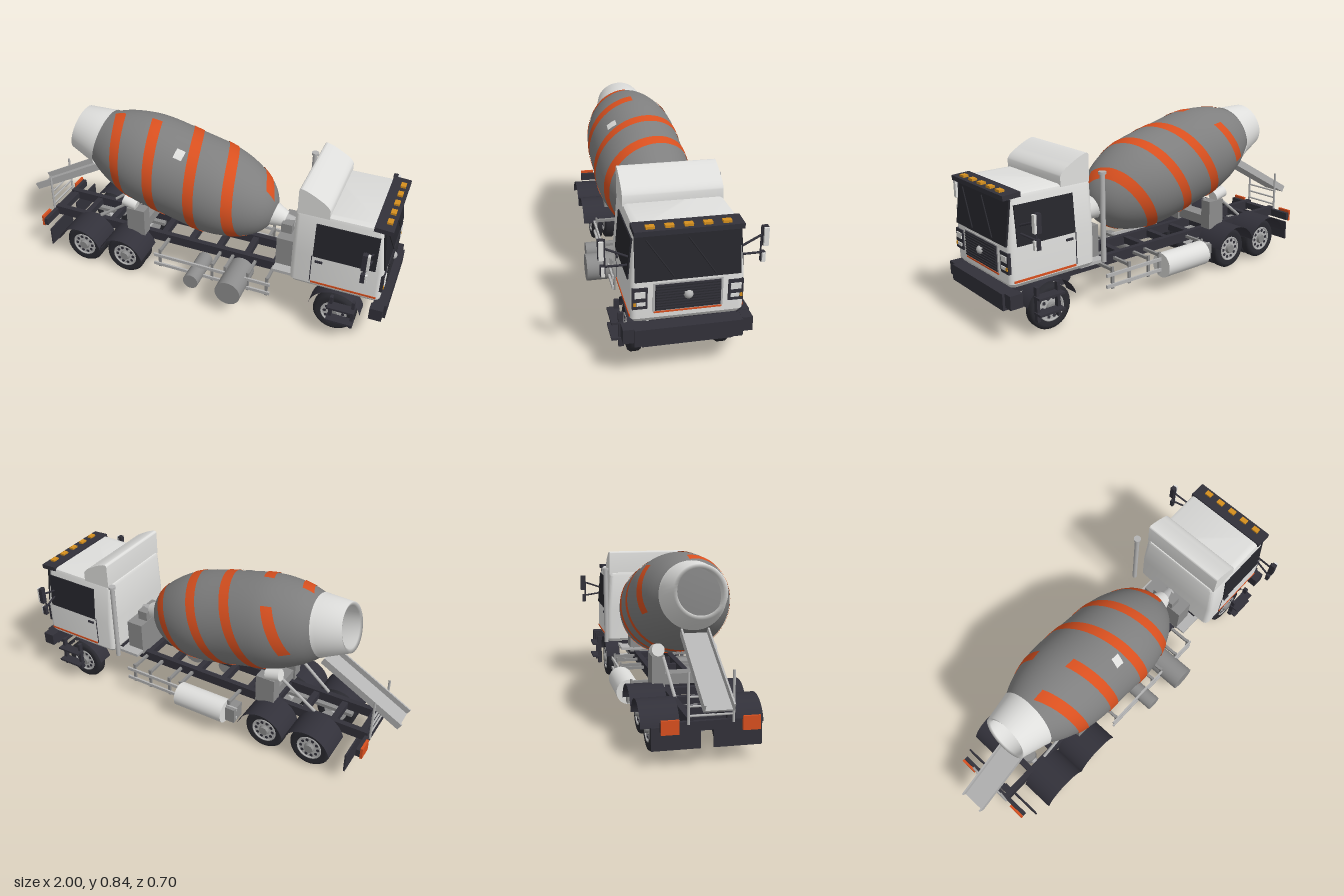
import * as THREE from 'three';
import { toCreasedNormals } from 'three/addons/utils/BufferGeometryUtils.js';

const DS = THREE.DoubleSide;
const mat = (name, color, side = THREE.FrontSide) => {
  const m = new THREE.MeshStandardMaterial({ color, side });
  m.name = name;
  return m;
};

export function createModel() {
  const root = new THREE.Group();
  root.name = 'mixerTruck';
  const white = mat('whitePaint', 0xdededc, DS), grey = mat('drumGrey', 0x7f7f7f);
  const orange = mat('orange', 0xd9501f, DS), dark = mat('darkFrame', 0x32313a, DS);
  const tyre = mat('tyreRubber', 0x2a2a30), glass = mat('darkGlass', 0x26262c);
  const steel = mat('lightSteel', 0xb4b4b4), mid = mat('midSteel', 0x8c8c8c);
  const amber = mat('amber', 0xd58f1e);

  const add = (name, geo, m, p = [0, 0, 0], parent = root) => {
    const mesh = new THREE.Mesh(geo, m);
    mesh.name = name;
    mesh.position.set(...p);
    parent.add(mesh);
    return mesh;
  };
  const box = (name, m, s, p, parent) => add(name, new THREE.BoxGeometry(...s), m, p, parent);
  const cyl = (name, m, r, len, axis, p, parent, r2 = r) => {
    const o = add(name, new THREE.CylinderGeometry(r, r2, len, 28), m, p, parent);
    if (axis === 'x') o.rotation.z = -Math.PI / 2;
    if (axis === 'z') o.rotation.x = Math.PI / 2;
    return o;
  };
  const rod = (name, m, r, a, b, parent) => add(name, new THREE.TubeGeometry(
    new THREE.LineCurve3(new THREE.Vector3(...a), new THREE.Vector3(...b)), 1, r, 8), m, [0, 0, 0], parent);
  const both = fn => [1, -1].forEach(fn);

  // Chassis: two rails and cross members
  both(s => box('chassisRail', dark, [1.79, 0.05, 0.028], [0.035, 0.19, s * 0.085]));
  for (let x = -0.83; x < 0.9; x += 0.155) box('crossMember', dark, [0.03, 0.035, 0.16], [x, 0.19, 0]);
  cyl('driveShaft', mid, 0.013, 0.85, 'x', [-0.1, 0.135, 0]);
  cyl('gearbox', dark, 0.042, 0.1, 'z', [0.575, 0.15, 0]);
  box('engineBlock', mid, [0.2, 0.12, 0.14], [0.72, 0.2, 0]);

  // Wheels, lying along z with the outer face at +z before mirroring
  const tyreGeo = new THREE.LatheGeometry([[0.06, -0.026], [0.085, -0.03], [0.098, -0.026], [0.105, -0.016],
    [0.105, 0.016], [0.098, 0.026], [0.085, 0.03], [0.06, 0.026]].map(p => new THREE.Vector2(...p)), 36);
  const wheel = (x, z, s) => {
    const g = new THREE.Group();
    g.name = 'wheel';
    g.position.set(x, 0.105, z);
    g.rotation.x = s * Math.PI / 2;
    add('tyre', tyreGeo, tyre, [0, 0, 0], g);
    cyl('rim', steel, 0.064, 0.046, 'y', [0, 0, 0], g);
    const lip = add('rimLip', new THREE.TorusGeometry(0.061, 0.005, 6, 32), steel, [0, 0.025, 0], g);
    lip.rotation.x = Math.PI / 2;
    cyl('hub', mid, 0.022, 0.02, 'y', [0, 0.028, 0], g, 0.028);
    for (let i = 0; i < 10; i++) {
      const a = i * Math.PI / 5;
      cyl('rimHole', dark, 0.008, 0.004, 'y', [Math.cos(a) * 0.045, 0.023, Math.sin(a) * 0.045], g);
    }
    root.add(g);
  };
  const fender = (x, z, w, r) => {
    const f = add('mudguard', new THREE.CylinderGeometry(r, r, w, 24, 1, true, Math.PI * 0.58, Math.PI * 0.84), dark, [x, 0.108, z]);
    f.rotation.x = Math.PI / 2;
  };
  both(s => {
    wheel(0.755, s * 0.192, s);
    fender(0.755, s * 0.19, 0.08, 0.13);
    for (const x of [-0.62, -0.375]) {
      wheel(x, s * 0.192, s);
      wheel(x, s * 0.122, s);
      fender(x, s * 0.185, 0.17, 0.127);
    }
  });
  for (const x of [-0.62, -0.375, 0.755]) {
    cyl('axle', steel, 0.017, 0.36, 'z', [x, 0.108, 0]);
    cyl('differential', mid, 0.038, 0.065, 'y', [x, 0.112, 0]);
    both(s => box('spring', mid, [0.2, 0.018, 0.028], [x, 0.142, s * 0.075]));
  }

  // Cab: rounded rectangles lofted upward [y, back, front, halfWidth, radius]
  const sections = [[0.25, 0.535, 0.945, 0.222, 0.02], [0.268, 0.525, 0.957, 0.235, 0.025], [0.43, 0.525, 0.957, 0.235, 0.025],
    [0.632, 0.525, 0.93, 0.218, 0.025], [0.646, 0.53, 0.924, 0.213, 0.025], [0.652, 0.545, 0.91, 0.2, 0.02]];
  const pos = [], idx = [], N = 20;
  for (const [y, x0, x1, hz, r] of sections) {
    for (let i = 0; i < N; i++) {
      const c = Math.floor(i / 5), a = (c + (i % 5) / 4) * Math.PI / 2;
      const cx = c === 0 || c === 3 ? x1 - r : x0 + r, cz = c < 2 ? hz - r : r - hz;
      pos.push(cx + r * Math.cos(a), y, cz + r * Math.sin(a));
    }
  }
  for (let k = 0; k < sections.length - 1; k++) for (let i = 0; i < N; i++) {
    const a = k * N + i, b = k * N + (i + 1) % N;
    idx.push(a, a + N, b, b, a + N, b + N);
  }
  const top = (sections.length - 1) * N;
  for (let i = 1; i < N - 1; i++) idx.push(0, i, i + 1, top, top + i + 1, top + i);
  const cabGeo = new THREE.BufferGeometry();
  cabGeo.setAttribute('position', new THREE.Float32BufferAttribute(pos, 3));
  cabGeo.setIndex(idx);
  add('cabShell', toCreasedNormals(cabGeo, 0.5), white);

  // Roof air deflector
  const def = new THREE.Shape();
  def.moveTo(0.535, 0.64);
  def.lineTo(0.685, 0.64);
  def.lineTo(0.685, 0.685);
  def.quadraticCurveTo(0.675, 0.71, 0.635, 0.73);
  def.quadraticCurveTo(0.59, 0.758, 0.555, 0.768);
  def.quadraticCurveTo(0.535, 0.774, 0.535, 0.755);
  add('airDeflector', toCreasedNormals(new THREE.ExtrudeGeometry(def, { depth: 0.434, bevelEnabled: false, curveSegments: 8 }), 0.6),
    white, [0, 0, -0.217]);

  // Windscreen, wipers, visor and roof lamps
  const screen = new THREE.Group();
  screen.name = 'windscreen';
  screen.position.set(0.946, 0.532, 0);
  screen.rotation.z = 0.133;
  root.add(screen);
  box('windscreenGlass', glass, [0.009, 0.198, 0.432], [0, 0, 0], screen);
  for (const z of [0.115, -0.055]) rod('wiper', tyre, 0.003, [0.009, 0.075, z + 0.055], [0.009, -0.085, z - 0.055], screen);
  box('sunVisor', dark, [0.085, 0.022, 0.442], [0.925, 0.646, 0]).rotation.z = -0.06;
  for (let i = -2; i <= 2; i++) box('roofLamp', amber, [0.025, 0.012, 0.036], [0.94, 0.66, i * 0.077]);

  // Grille, lamps and bumper
  box('grillePanel', steel, [0.006, 0.125, 0.288], [0.958, 0.36, 0]);
  box('grille', dark, [0.008, 0.115, 0.27], [0.96, 0.359, 0]);
  for (let i = 0; i < 9; i++) box('grilleSlat', tyre, [0.008, 0.005, 0.264], [0.965, 0.31 + i * 0.0123, 0]);
  add('grilleKnob', new THREE.SphereGeometry(0.02, 20, 14), steel, [0.963, 0.365, 0]);
  box('frontStripe', orange, [0.006, 0.007, 0.28], [0.959, 0.293, 0]);
  both(s => {
    box('headlampPanel', dark, [0.03, 0.093, 0.063], [0.948, 0.361, s * 0.197]);
    box('headlamp', white, [0.008, 0.027, 0.044], [0.963, 0.379, s * 0.197]);
    box('lowerLamp', white, [0.008, 0.015, 0.036], [0.963, 0.338, s * 0.193]);
    box('turnSignal', amber, [0.008, 0.015, 0.01], [0.963, 0.338, s * 0.219]);
    box('bumperEnd', dark, [0.06, 0.063, 0.045], [0.955, 0.207, s * 0.247]);
  });
  box('bumper', dark, [0.065, 0.075, 0.45], [0.964, 0.2, 0]);
  box('bumperLip', dark, [0.05, 0.02, 0.38], [0.95, 0.154, 0]);
  box('cabUnderside', dark, [0.4, 0.03, 0.3], [0.73, 0.24, 0]);

  // Cab sides: glass, trim, mirrors and folding steps
  both(s => {
    box('sideWindow', glass, [0.29, 0.176, 0.009], [0.775, 0.519, s * 0.2285]).rotation.x = -s * 0.084;
    box('doorStripe', orange, [0.31, 0.01, 0.006], [0.785, 0.278, s * 0.2345]);
    box('doorHandle', dark, [0.035, 0.01, 0.01], [0.66, 0.405, s * 0.237]);
    box('doorSeam', dark, [0.004, 0.15, 0.004], [0.625, 0.355, s * 0.2345]);
    rod('mirrorArm', dark, 0.005, [0.9, 0.52, s * 0.23], [0.88, 0.555, s * 0.325]);
    rod('mirrorArm', dark, 0.005, [0.9, 0.485, s * 0.23], [0.88, 0.475, s * 0.325]);
    rod('mirrorPost', dark, 0.004, [0.88, 0.44, s * 0.323], [0.88, 0.595, s * 0.323]);
    box('mirror', dark, [0.022, 0.085, 0.024], [0.88, 0.552, s * 0.338]);
    box('mirrorBack', white, [0.012, 0.08, 0.02], [0.896, 0.552, s * 0.338]);
    box('smallMirror', dark, [0.02, 0.045, 0.018], [0.88, 0.458, s * 0.332]);
    box('smallMirrorBack', white, [0.01, 0.04, 0.014], [0.894, 0.458, s * 0.332]);
    for (const x of [0.745, 0.85]) box('stepBar', dark, [0.015, 0.16, 0.022], [x, 0.16, s * 0.256]);
    for (const y of [0.195, 0.12]) box('stepTread', dark, [0.13, 0.01, 0.05], [0.797, y, s * 0.272]);
  });

  // Exhaust stack, rear cab platform and drum drive
  cyl('exhaustStack', steel, 0.012, 0.42, 'y', [0.485, 0.47, -0.247]);
  cyl('exhaustCap', steel, 0.018, 0.012, 'y', [0.485, 0.676, -0.247]);
  box('frontPedestal', mid, [0.09, 0.18, 0.24], [0.465, 0.3, 0]);
  box('pedestalTop', mid, [0.055, 0.07, 0.13], [0.45, 0.405, 0]);
  box('platform', steel, [0.14, 0.015, 0.34], [0.49, 0.228, 0]);

  // Drum, turned about its tilted axis
  const drum = new THREE.Group();
  drum.name = 'drum';
  drum.position.set(-0.1257, 0.562, 0);
  drum.rotation.z = -Math.PI / 2 - Math.atan(0.25);
  root.add(drum);
  const profile = new THREE.CatmullRomCurve3([[0.135, -0.46], [0.183, -0.37], [0.218, -0.26], [0.232, -0.17], [0.234, 0.02],
    [0.231, 0.2], [0.21, 0.305], [0.168, 0.405], [0.117, 0.47], [0.055, 0.508], [0, 0.515]]
    .map(([r, y]) => new THREE.Vector3(r, y, 0))).getPoints(50).map(p => new THREE.Vector2(Math.max(0, p.x), p.y));
  add('drumShell', new THREE.LatheGeometry([new THREE.Vector2(0, -0.46), ...profile], 64), grey, [0, 0, 0], drum);
  const radiusAt = s => {
    let i = 1;
    while (i < profile.length - 1 && profile[i].y < s) i++;
    const a = profile[i - 1], b = profile[i];
    return THREE.MathUtils.lerp(a.x, b.x, THREE.MathUtils.clamp((s - a.y) / (b.y - a.y), 0, 1));
  };
  // Curved strip on the drum; angle 0 is the top and grows towards +z
  const band = (name, m, s0, a0, a1, w, pitch = 0.416) => {
    const p = [], f = [], n = Math.ceil((a1 - a0) / 0.09), rows = 5;
    for (let i = 0; i <= n; i++) {
      const a = a0 + (a1 - a0) * i / n;
      for (let j = 0; j < rows; j++) {
        const s = s0 + pitch * a / (2 * Math.PI) + w * (j / (rows - 1) - 0.5), r = radiusAt(s) + 0.003;
        p.push(-r * Math.cos(a), s, r * Math.sin(a));
        if (i < n && j < rows - 1) {
          const q = i * rows + j;
          f.push(q, q + rows, q + 1, q + 1, q + rows, q + rows + 1);
        }
      }
    }
    const g = new THREE.BufferGeometry();
    g.setAttribute('position', new THREE.Float32BufferAttribute(p, 3));
    g.setIndex(f);
    g.computeVertexNormals();
    add(name, g, m, [0, 0, 0], drum);
  };
  const PI = Math.PI;
  band('spiralStripe', orange, -0.195, -0.6 * PI, -0.24 * PI, 0.055);
  band('spiralStripe', orange, -0.195, 0, 3.1 * PI, 0.055);
  band('spiralStripe', orange, -0.39, 0, 4.1 * PI, 0.055);
  band('hatchPatch', white, -0.005, 0.5, 0.72, 0.045, 0);

  // Drum mouth and drive cone
  add('mouthCollar', new THREE.LatheGeometry([[0.125, -0.44], [0.1, -0.575], [0.118, -0.582], [0.147, -0.46], [0.153, -0.44]]
    .map(p => new THREE.Vector2(...p)), 48), white, [0, 0, 0], drum);
  cyl('driveCone', white, 0.04, 0.07, 'y', [0, 0.535, 0], drum, 0.062);
  cyl('driveMotor', steel, 0.03, 0.07, 'y', [0, 0.59, 0], drum);

  // Rear drum cradle with rollers
  both(s => {
    box('rearPedestal', mid, [0.1, 0.15, 0.06], [-0.335, 0.29, s * 0.12]);
    cyl('drumRoller', white, 0.03, 0.075, 'x', [-0.37, 0.39, s * 0.125]).rotation.z -= 0.245;
    rod('cradleBrace', steel, 0.008, [-0.4, 0.36, s * 0.1], [-0.58, 0.22, s * 0.085]);
  });
  box('cradleBeam', mid, [0.08, 0.05, 0.24], [-0.335, 0.25, 0]);

  // Discharge chute and ladder
  const chute = new THREE.Group();
  chute.name = 'chute';
  chute.position.set(-0.79, 0.402, 0);
  chute.rotation.z = 0.513;
  root.add(chute);
  box('chuteFloor', steel, [0.465, 0.008, 0.12], [0, -0.014, 0], chute);
  both(s => box('chuteSide', steel, [0.465, 0.036, 0.008], [0, 0, s * 0.06], chute));
  both(s => rod('ladderPost', steel, 0.006, [-0.872, 0.19, s * 0.095], [-0.872, 0.41, s * 0.095]));
  for (const y of [0.225, 0.265, 0.305]) rod('ladderRung', steel, 0.005, [-0.872, y, -0.095], [-0.872, y, 0.095]);

  // Rear beam, lamps and mudflaps
  box('rearBeam', dark, [0.02, 0.04, 0.42], [-0.858, 0.18, 0]);
  both(s => {
    box('rearLamp', orange, [0.012, 0.06, 0.075], [-0.875, 0.183, s * 0.172]);
    box('rearMudflap', dark, [0.008, 0.1, 0.21], [-0.812, 0.115, s * 0.133]);
  });

  // Tanks and side guards
  cyl('fuelTank', mid, 0.066, 0.21, 'z', [0.245, 0.138, 0.22]);
  cyl('airTank', mid, 0.04, 0.2, 'z', [0.037, 0.125, 0.2]);
  cyl('waterTank', white, 0.062, 0.275, 'x', [-0.022, 0.138, -0.223]);
  box('batteryBox', mid, [0.05, 0.08, 0.08], [-0.19, 0.135, -0.2]);
  both(s => {
    for (const y of [0.17, 0.115]) box('sideGuardRail', steel, [s > 0 ? 0.63 : 0.67, 0.016, 0.01], [0.115, y, s * 0.22]);
    for (const x of [-0.17, 0.12, 0.19, 0.31, 0.41]) {
      box('guardPost', mid, [0.014, 0.11, 0.01], [x, 0.15, s * 0.212]);
      box('guardBracket', mid, [0.014, 0.014, 0.12], [x, 0.19, s * 0.155]);
    }
  });
  return root;
}
